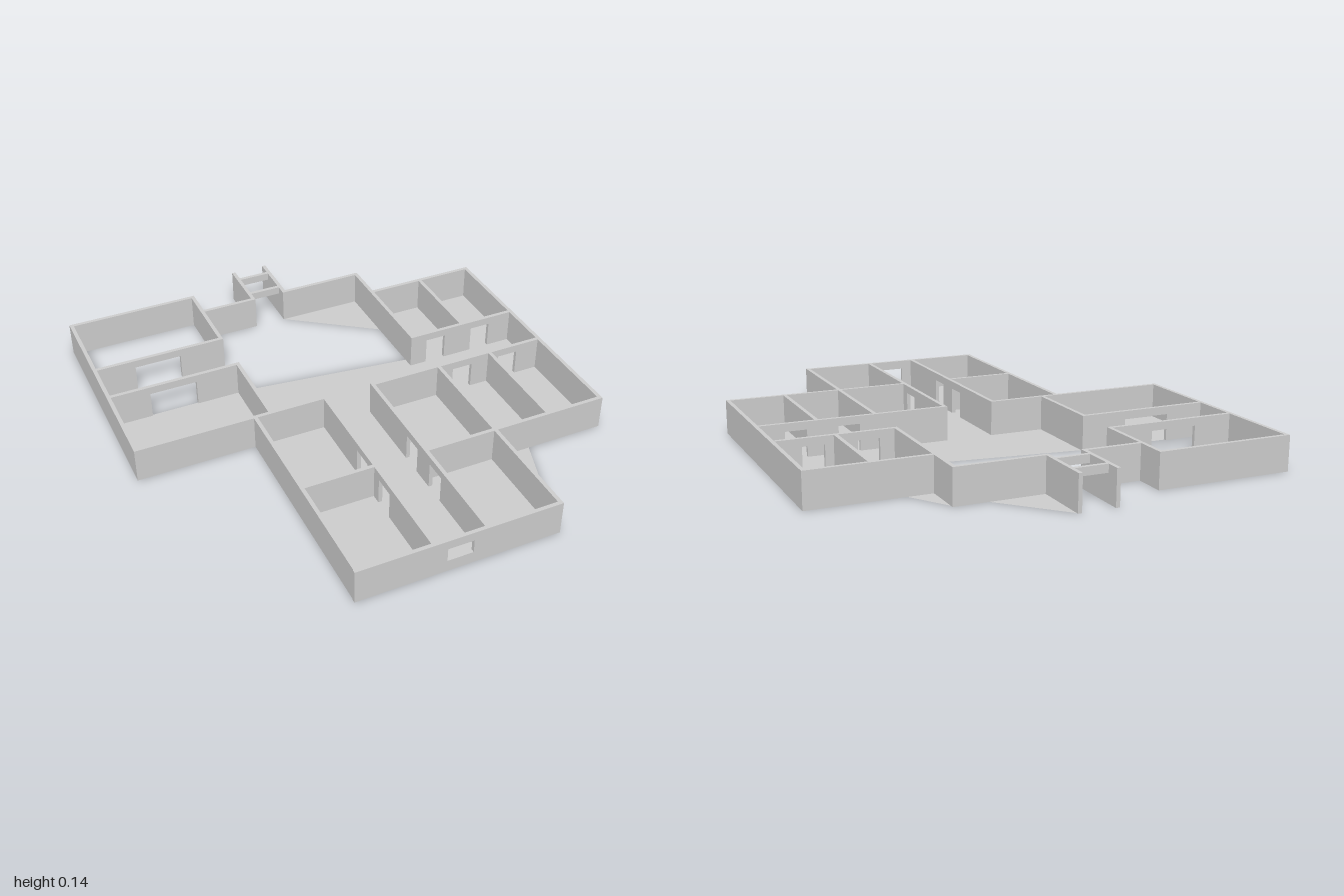
import * as THREE from 'three';

const H = 0.145;   // wall height
const T = 0.016;   // wall thickness
const DOOR = 0.112; // door head height

export function createModel() {
  const model = new THREE.Group();
  const mat = new THREE.MeshStandardMaterial({ color: 0xcccccc, flatShading: true, side: THREE.DoubleSide });

  // Wall along 'x' or 'z' at a fixed centre line; openings are [from, to, sill, head]
  function wall(name, axis, at, from, to, openings = []) {
    const group = new THREE.Group();
    group.name = name;
    const piece = (a, b, y0, y1) => {
      if (b - a < 1e-4 || y1 - y0 < 1e-4) return;
      const g = axis === 'x' ? new THREE.BoxGeometry(b - a, y1 - y0, T) : new THREE.BoxGeometry(T, y1 - y0, b - a);
      const m = new THREE.Mesh(g, mat);
      const mid = (a + b) / 2;
      m.position.set(axis === 'x' ? mid : at, (y0 + y1) / 2, axis === 'x' ? at : mid);
      m.name = name + 'Section';
      group.add(m);
    };
    let start = from;
    for (const [a, b, sill, head] of openings) {
      piece(start, a, 0, H);
      piece(a, b, 0, sill);
      piece(a, b, head, H);
      start = b;
    }
    piece(start, to, 0, H);
    model.add(group);
  }
  const door = (a, b) => [a, b, 0, DOOR];

  // Floor slab outline in x, z
  const outline = [
    [-0.91, -0.31], [-0.34, -0.31], [0.41, -0.22], [0.41, -0.48], [0.05, -0.74], [0.05, -1],
    [0.28, -0.76], [0.41, -0.76], [0.53, -0.58], [0.91, -0.58], [0.91, 0.52], [0.58, 0.52],
    [0.42, 1], [-0.415, 1], [-0.415, 0.06], [-0.91, 0.06],
  ];
  const floorGeo = new THREE.ShapeGeometry(new THREE.Shape(outline.map(([x, z]) => new THREE.Vector2(x, z))));
  const floor = new THREE.Mesh(floorGeo.rotateX(Math.PI / 2), mat);
  floor.name = 'floor';
  model.add(floor);

  // Front wing: outer walls, corridor and four rooms
  wall('frontWall', 'x', 0.992, -0.42, 0.42, [[-0.055, 0.052, 0.05, 0.107]]);
  const corridorDoors = [door(0.38, 0.47), door(0.57, 0.66)];
  wall('frontWingRightWall', 'z', -0.41, 0.05, 1);
  wall('frontWingLeftWall', 'z', 0.413, 0.05, 1);
  wall('corridorRightWall', 'z', -0.108, 0.05, 1, corridorDoors);
  wall('corridorLeftWall', 'z', 0.108, 0.05, 1, corridorDoors);
  wall('frontRoomDivider', 'x', 0.522, -0.41, -0.108);

  // Left wing: rooms on both sides of the cross passage
  const roomDoors = [door(0.48, 0.57), door(0.7, 0.79)];
  wall('leftWingFrontWall', 'x', 0.522, 0.108, 0.91);
  wall('passageFrontWall', 'x', 0.056, 0.1, 0.91, roomDoors);
  wall('passageBackWall', 'x', -0.18, 0.405, 0.91, roomDoors);
  wall('leftWingBackWall', 'x', -0.582, 0.405, 0.91);
  wall('leftWingOuterWall', 'z', 0.902, -0.59, 0.53);
  wall('frontLeftDivider', 'z', 0.657, 0.056, 0.522);
  wall('backLeftDivider', 'z', 0.657, -0.582, -0.18);
  wall('courtLeftWall', 'z', 0.413, -0.76, -0.172);

  // Right wing: side room and back room
  const wideDoor = [door(-0.73, -0.53)];
  wall('rightWingOuterWall', 'z', -0.902, -0.89, 0.06);
  wall('sideRoomFrontWall', 'x', 0.056, -0.91, -0.1);
  wall('sideRoomBackWall', 'x', -0.312, -0.91, -0.335, wideDoor);
  wall('sideRoomInnerWall', 'z', -0.343, -0.32, 0.06);
  wall('backRoomFrontWall', 'x', -0.517, -0.91, -0.335, wideDoor);
  wall('backRoomBackWall', 'x', -0.882, -0.91, -0.335);
  wall('backRoomInnerWall', 'z', -0.343, -0.89, -0.509);

  // Entrance porch and its connecting walls
  wall('courtBackRightWall', 'x', -0.752, -0.343, -0.092);
  wall('courtBackLeftWall', 'x', -0.752, 0.042, 0.421);
  wall('porchRightWall', 'z', -0.1, -1, -0.744);
  wall('porchLeftWall', 'z', 0.05, -1, -0.744);
  for (const z of [-0.935, -0.802]) wall('porchLintel', 'x', z, -0.092, 0.042, [door(-0.092, 0.042)]);

  return model;
}
